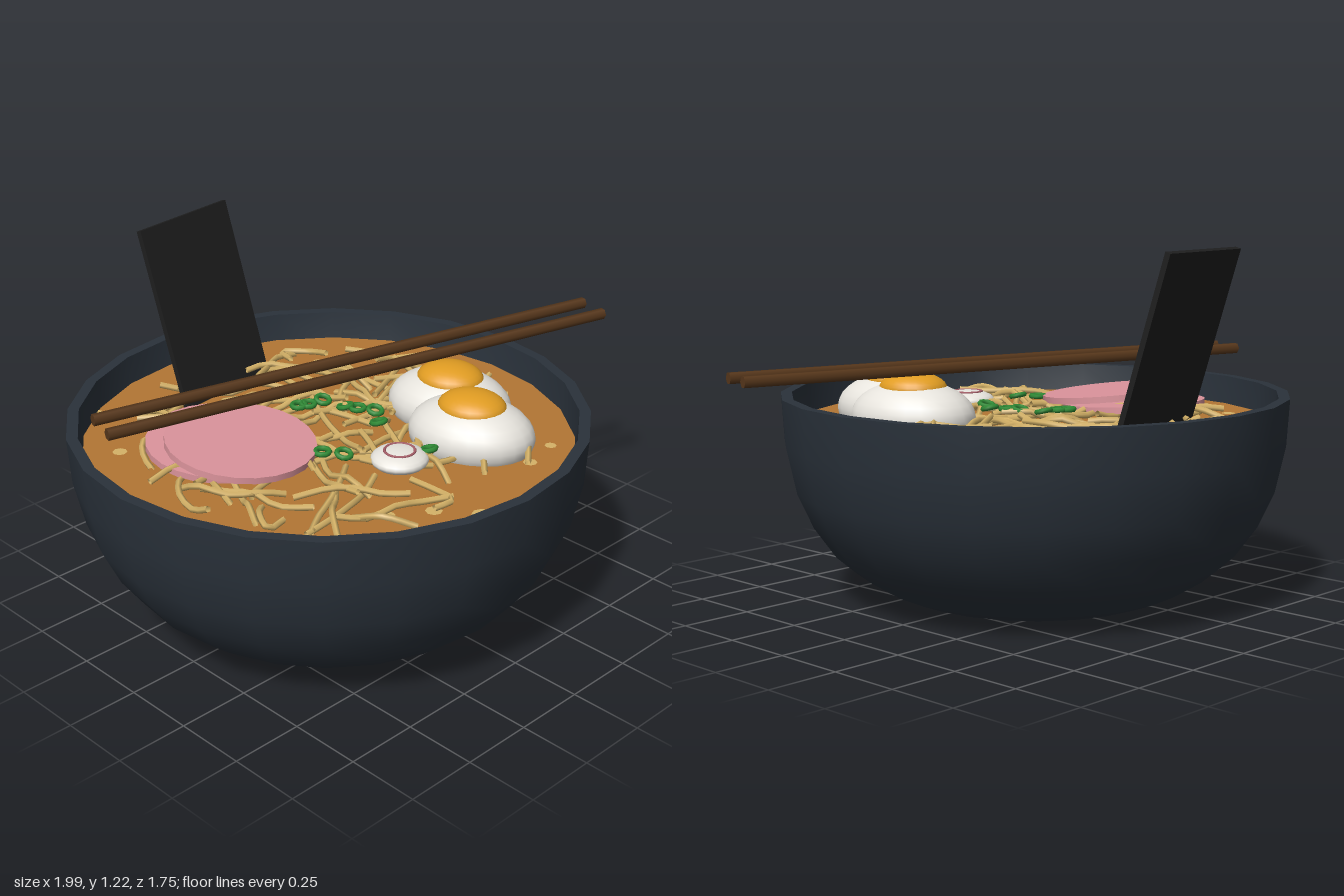
import * as THREE from 'three';
import { mergeGeometries } from 'three/addons/utils/BufferGeometryUtils.js';

const CX = -0.125;   // bowl axis
const SOUP_Y = 0.61;

function makeMaterial(name, color, side = THREE.FrontSide) {
  const m = new THREE.MeshStandardMaterial({ color, side });
  m.name = name;
  return m;
}

function seeded(seed) {
  return () => {
    seed = (seed * 16807) % 2147483647;
    return seed / 2147483647;
  };
}

export function createModel() {
  const model = new THREE.Group();
  model.name = 'noodleSoupBowl';

  const mat = {
    bowl: makeMaterial('dark slate glaze', 0x2a323b),
    soup: makeMaterial('broth brown', 0xb37634),
    pork: makeMaterial('ham pink', 0xdc949c),
    white: makeMaterial('egg white', 0xeeebe4),
    yolk: makeMaterial('yolk orange', 0xe09c22),
    noodle: makeMaterial('noodle tan', 0xd6b368, THREE.DoubleSide),
    onion: makeMaterial('onion green', 0x2f8a35),
    seaweed: makeMaterial('seaweed black', 0x1e1e1e),
    wood: makeMaterial('chopstick brown', 0x57371b),
    swirl: makeMaterial('swirl rose', 0xa8606a),
  };

  function add(name, geometry, material, x = 0, y = 0, z = 0, parent = model) {
    const mesh = new THREE.Mesh(geometry, material);
    mesh.name = name;
    mesh.position.set(x, y, z);
    parent.add(mesh);
    return mesh;
  }

  // Bowl: outer wall, flat rim and inner wall are separate to keep the lip sharp
  const profiles = {
    bowlOuter: [[0, 0], [0.34, 0], [0.45, 0.012], [0.53, 0.043], [0.63, 0.105], [0.7, 0.165],
      [0.775, 0.27], [0.83, 0.39], [0.865, 0.55], [0.875, 0.71]],
    bowlRim: [[0.875, 0.71], [0.837, 0.71]],
    bowlInner: [[0.837, 0.71], [0.825, 0.57], [0.79, 0.41], [0.7, 0.24], [0.52, 0.09], [0, 0.05]],
  };
  for (const [name, pts] of Object.entries(profiles)) {
    const profile = pts.map(([r, y]) => new THREE.Vector2(r, y));
    add(name, new THREE.LatheGeometry(profile, 24), mat.bowl, CX);
  }

  // Broth surface
  const disc = (r, n) => new THREE.CircleGeometry(r, n).rotateX(-Math.PI / 2);
  add('broth', disc(0.828, 24), mat.soup, CX, SOUP_Y);

  // Oil drops floating on the broth: x, z, radius
  const drops = [
    [-0.02, -0.78, 0.024], [-0.58, -0.69, 0.025], [-0.53, -0.61, 0.02], [-0.7, -0.4, 0.025],
    [0.13, -0.45, 0.032], [0.26, -0.46, 0.02], [-0.93, 0.04, 0.022], [-0.37, 0.52, 0.022],
    [-0.25, 0.6, 0.028], [-0.16, 0.72, 0.034], [0.21, 0.6, 0.024], [0.35, 0.57, 0.02],
  ];
  add('oilDrops', mergeGeometries(drops.map(([x, z, r]) => disc(r, 8).translate(x, SOUP_Y + 0.004, z))), mat.noodle);

  // Noodles: short kinked strands wandering over the broth
  const rand = seeded(4217);
  const strands = [];
  for (let i = 0; i < 78; i++) {
    const a = i * 2.4;
    const r = 0.62 * Math.sqrt((i + 0.5) / 78);
    let x = CX + 0.02 + r * Math.cos(a);
    let z = r * Math.sin(a);
    let heading = rand() * Math.PI * 2;
    const bend = (rand() - 0.5) * 0.9;
    const pts = [];
    for (let k = 0; k < 5; k++) {
      pts.push(new THREE.Vector3(x, SOUP_Y + 0.005 + rand() * 0.045, z));
      heading += bend + (rand() - 0.5) * 0.9;
      const step = 0.07 + rand() * 0.05;
      const nx = x + Math.cos(heading) * step;
      const nz = z + Math.sin(heading) * step;
      // turn back before reaching the wall
      if (Math.hypot(nx - CX, nz) > 0.7) heading += Math.PI / 2;
      else { x = nx; z = nz; }
    }
    const path = pts.filter((p, k) => k === 0 || Math.hypot(p.x - pts[k - 1].x, p.z - pts[k - 1].z) > 0.01);
    if (path.length < 3) continue;
    strands.push(new THREE.TubeGeometry(new THREE.CatmullRomCurve3(path), 8, 0.011, 5));
  }
  add('noodles', mergeGeometries(strands), mat.noodle);

  // Two overlapping ham slices, the upper one leaning on the lower
  const slice = new THREE.CylinderGeometry(0.25, 0.25, 0.022, 24);
  add('hamSliceLower', slice, mat.pork, -0.46, 0.65, -0.165).rotation.x = 0.06;
  add('hamSliceUpper', slice, mat.pork, -0.457, 0.683, -0.07).rotation.set(0.09, 0, -0.04);

  // Half-sunk eggs with domed yolks
  [[0.18, 0.367], [0.295, 0.163]].forEach(([x, z], i) => {
    const egg = new THREE.Group();
    egg.name = 'egg' + (i + 1);
    egg.position.set(x, 0.65, z);
    egg.rotation.y = 0.33;
    model.add(egg);
    const ball = new THREE.SphereGeometry(1, 24, 16);
    add('eggWhite', ball, mat.white, 0, 0, 0, egg).scale.set(0.17, 0.122, 0.22);
    add('eggYolk', ball, mat.yolk, 0, 0.095, 0, egg).scale.set(0.102, 0.055, 0.118);
  });

  // Fish cake with a thin rose ring
  add('fishCake', new THREE.SphereGeometry(1, 20, 12), mat.white, CX, 0.65, 0.33).scale.set(0.096, 0.035, 0.096);
  const swirl = add('fishCakeSwirl', new THREE.TorusGeometry(0.05, 0.005, 6, 20).rotateX(Math.PI / 2),
    mat.swirl, CX, 0.68, 0.33);
  swirl.scale.y = 0.8;

  // Chopped onion rings
  const rings = [[-0.11, -0.165], [-0.02, -0.14], [0.0, -0.05], [0.02, -0.01], [0.05, 0.045],
    [-0.005, 0.115], [-0.29, 0.14], [-0.25, 0.2], [-0.03, 0.37], [-0.08, -0.15]];
  add('onionRings', mergeGeometries(rings.map(([x, z], i) =>
    new THREE.TorusGeometry(0.024, 0.009, 6, 10).rotateX(Math.PI / 2 + 0.3 * Math.sin(i * 2.1))
      .translate(x, 0.665, z))), mat.onion);

  // Seaweed sheet leaning on the back wall
  const sheet = add('seaweedSheet', new THREE.BoxGeometry(0.415, 0.65, 0.02), mat.seaweed, -0.135, 0.908, -0.615);
  sheet.rotation.set(-0.3, 0.1, 0, 'YXZ');

  // Chopsticks resting across the bowl
  [[0.06, -0.06], [0.03, 0.0525]].forEach(([x, z], i) => {
    const stick = add('chopstick' + (i + 1), new THREE.CylinderGeometry(0.02, 0.02, 1.92, 6).rotateZ(Math.PI / 2),
      mat.wood, x, 0.825, z);
    stick.rotation.y = -0.252;
  });

  return model;
}
